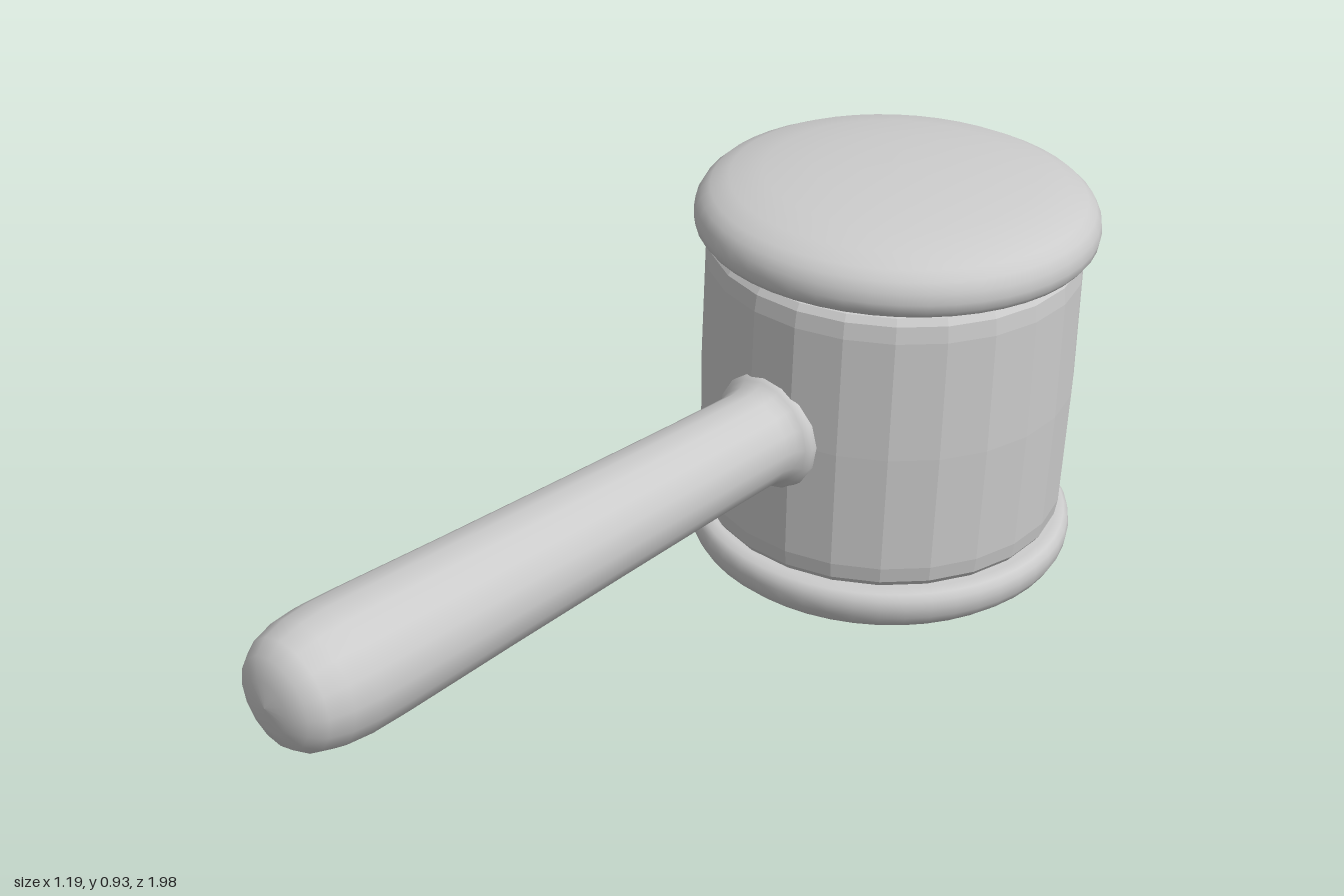
import * as THREE from 'three';

const material = new THREE.MeshStandardMaterial({ color: 0xcccccc });
const facetedMaterial = new THREE.MeshStandardMaterial({ color: 0xcccccc, flatShading: true });

// Turned part from [radius, height] pairs listed bottom to top
function turned(name, pairs, segments, mat = material) {
  const points = pairs.map(([r, y]) => new THREE.Vector2(r, y));
  const mesh = new THREE.Mesh(new THREE.LatheGeometry(points, segments), mat);
  mesh.name = name;
  return mesh;
}

export function createModel() {
  const model = new THREE.Group();
  model.name = 'mallet';
  const centre = new THREE.Vector3(0.17, 0.467, -0.573);

  // Head, leaning slightly
  const head = new THREE.Group();
  head.name = 'head';
  head.position.copy(centre);
  head.rotation.set(0.012, 0, -0.028);
  model.add(head);

  // Faceted drum with softened rims, a little deeper than wide
  const drum = turned('drum', [
    [0, -0.33], [0.365, -0.33], [0.365, -0.313], [0.387, -0.309], [0.397, -0.295], [0.402, -0.26],
    [0.405, 0], [0.4, 0.26], [0.395, 0.295], [0.385, 0.309], [0.365, 0.313], [0.365, 0.33], [0, 0.33],
  ], 24, facetedMaterial);
  drum.scale.set(0.985, 1, 1.015);
  head.add(drum);

  // Domed caps, the lower one mirrored
  const capProfile = [
    [0, 0.316], [0.39, 0.316], [0.408, 0.322], [0.418, 0.335], [0.421, 0.353], [0.418, 0.375],
    [0.407, 0.395], [0.388, 0.412], [0.35, 0.43], [0.28, 0.445], [0.18, 0.456], [0.08, 0.461], [0, 0.462],
  ];
  const topCap = turned('topCap', capProfile, 48);
  const bottomCap = turned('bottomCap', capProfile, 48);
  bottomCap.rotation.x = Math.PI;
  head.add(topCap, bottomCap);

  // Handle: flared collar at the drum, widening to a rounded butt
  const handle = turned('handle', [
    [0.125, 0.36], [0.125, 0.4], [0.116, 0.412], [0.106, 0.425], [0.101, 0.45], [0.103, 0.6],
    [0.11, 0.9], [0.118, 1.2], [0.126, 1.45], [0.127, 1.53], [0.122, 1.585],
    [0.109, 1.63], [0.088, 1.658], [0.05, 1.674], [0, 1.68],
  ], 16);
  handle.position.copy(centre);
  const direction = new THREE.Vector3(-0.404, 0, 0.915).normalize();
  handle.quaternion.setFromUnitVectors(new THREE.Vector3(0, 1, 0), direction);
  model.add(handle);

  return model;
}
